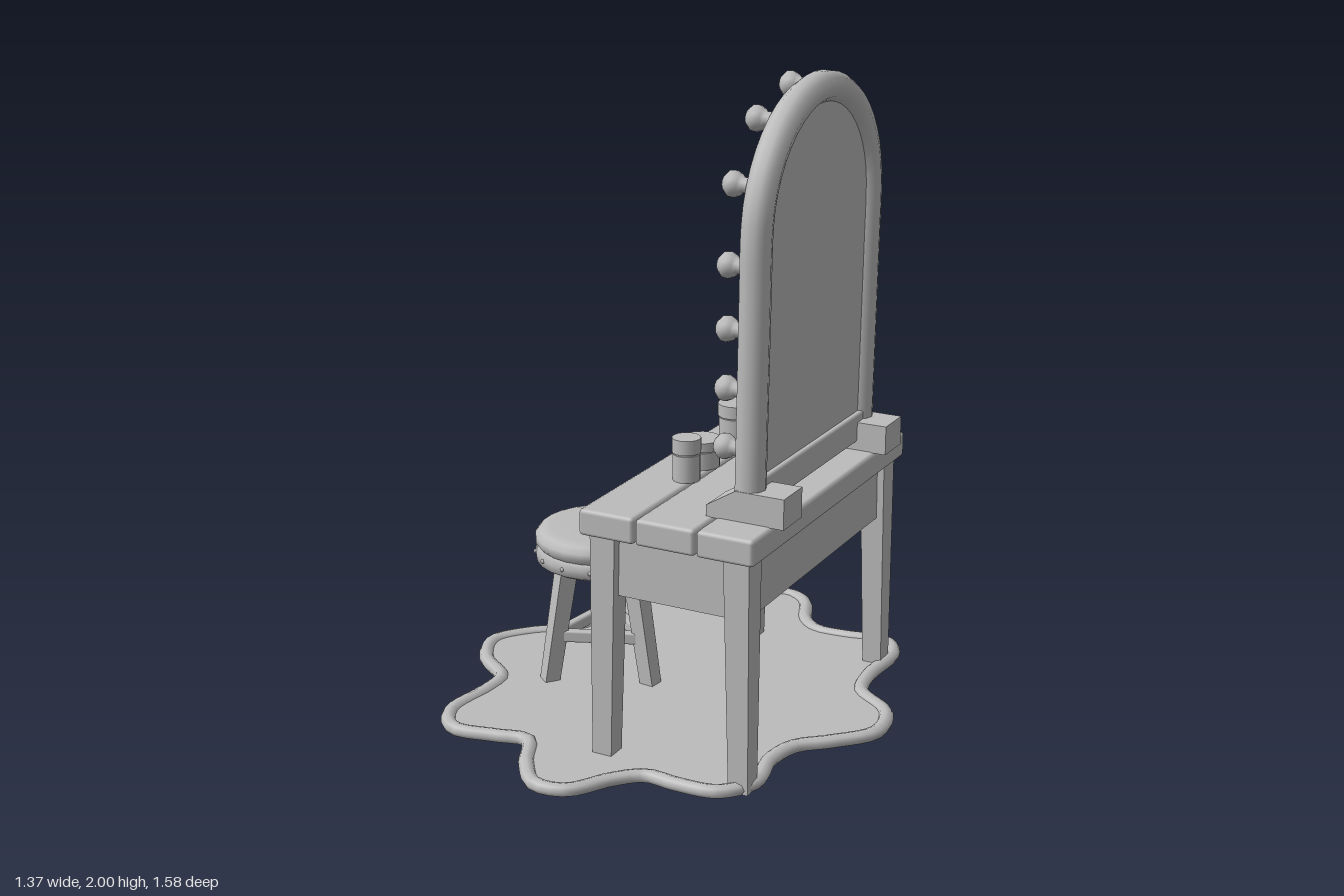
import * as THREE from 'three';
import { RoundedBoxGeometry } from 'three/addons/geometries/RoundedBoxGeometry.js';

const clay = new THREE.MeshStandardMaterial({ color: 0xbcbcbc });
clay.name = 'plain grey';

function add(parent, name, geometry, x = 0, y = 0, z = 0) {
  const mesh = new THREE.Mesh(geometry, clay);
  mesh.name = name;
  mesh.position.set(x, y, z);
  parent.add(mesh);
  return mesh;
}

function group(parent, name, x = 0, y = 0, z = 0) {
  const g = new THREE.Group();
  g.name = name;
  g.position.set(x, y, z);
  parent.add(g);
  return g;
}

const box = (w, h, d) => new THREE.BoxGeometry(w, h, d);
const softBox = (w, h, d, r = 0.008) => new RoundedBoxGeometry(w, h, d, 1, r);
const lathe = (pts, n = 20) => new THREE.LatheGeometry(pts.map(p => new THREE.Vector2(...p)), n);

// Square leg from a bottom point to a top point, with its own width at each end
function leg(parent, name, bottom, top, wBottom, wTop, turn = 0) {
  const h = top[1] - bottom[1];
  const g = box(1, h, 1);
  const p = g.attributes.position;
  const c = Math.cos(turn), s = Math.sin(turn);
  for (let i = 0; i < p.count; i++) {
    const t = p.getY(i) / h + 0.5;
    const w = wBottom + (wTop - wBottom) * t;
    const x = p.getX(i) * w, z = p.getZ(i) * w;
    p.setXYZ(i, bottom[0] + (top[0] - bottom[0]) * t + x * c + z * s, bottom[1] + h * t,
      bottom[2] + (top[2] - bottom[2]) * t - x * s + z * c);
  }
  g.computeVertexNormals();
  return add(parent, name, g);
}

// Wavy eight-lobed rug with a raised rim
function buildRug(root) {
  const outline = [
    [-.30, -.79], [-.2, -.78], [-.08, -.665], [0, -.635], [.1, -.67], [.23, -.735], [.31, -.68], [.37, -.5],
    [.44, -.385], [.6, -.325], [.67, -.2], [.62, -.06], [.565, .05], [.58, .17], [.65, .3], [.62, .42],
    [.5, .48], [.4, .51], [.35, .6], [.31, .74], [.22, .785], [.1, .72], [-.02, .62], [-.11, .67],
    [-.24, .735], [-.34, .67], [-.39, .48], [-.43, .395], [-.58, .34], [-.68, .23], [-.65, .1], [-.56, -.06],
    [-.6, -.2], [-.675, -.37], [-.6, -.46], [-.43, -.485], [-.385, -.52], [-.36, -.68],
  ];
  const curve = new THREE.CatmullRomCurve3(outline.map(([x, z]) => new THREE.Vector3(x * 0.97, 0, z * 0.97)), true);
  const rug = group(root, 'rug');
  const rim = add(rug, 'rugRim', new THREE.TubeGeometry(curve, 150, 0.024, 8, true), 0, 0.034, 0);
  rim.scale.y = 0.83;
  const shape = new THREE.Shape(curve.getPoints(150).map(p => new THREE.Vector2(p.x, -p.z)));
  const mat = new THREE.ExtrudeGeometry(shape, { depth: 0.026, bevelEnabled: false });
  mat.rotateX(-Math.PI / 2);
  add(rug, 'rugMat', mat, 0, 0.014, 0);
}

// Round three-legged stool
function buildStool(root) {
  const stool = group(root, 'stool', -0.24, 0, 0.11);
  add(stool, 'stoolCushion', lathe([[0, .46], [.195, .465], [.21, .485], [.21, .505], [.195, .524], [.16, .53], [0, .532]], 24));
  add(stool, 'stoolSeatRing', lathe([[0, .415], [.19, .415], [.207, .425], [.21, .45], [.205, .47], [0, .475]], 24));
  for (let i = 0; i < 14; i++) {
    const a = i / 14 * Math.PI * 2;
    add(stool, 'seatStud', new THREE.SphereGeometry(0.007, 8, 6), Math.cos(a) * 0.209, 0.447, Math.sin(a) * 0.209);
  }
  const at = (i, r, y) => {
    const a = (-12 + 120 * i) * Math.PI / 180;
    return [Math.cos(a) * r, y, Math.sin(a) * r];
  };
  for (let i = 0; i < 3; i++) {
    leg(stool, 'stoolLeg', at(i, 0.19, 0), at(i, 0.12, 0.42), 0.048, 0.056, (12 - 120 * i) * Math.PI / 180);
    const a = new THREE.Vector3(...at(i, 0.16, 0.185)), b = new THREE.Vector3(...at(i + 1, 0.16, 0.185));
    const rung = add(stool, 'stoolRung', softBox(0.03, 0.04, a.distanceTo(b)));
    rung.position.copy(a).lerp(b, 0.5);
    rung.rotation.y = Math.atan2(b.x - a.x, b.z - a.z);
  }
}

// Table: plank top, tapered legs, aprons and a drawer
function buildTable(desk) {
  const table = group(desk, 'table');
  for (const [i, w] of [0.18, 0.19, 0.18].entries()) {
    add(table, 'topPlank', softBox(1.08, 0.08, w - 0.003, 0.012), 0, 0.765, [0.187, 0, -0.187][i]);
  }
  for (const sx of [-1, 1]) {
    for (const sz of [-1, 1]) {
      leg(table, 'tableLeg', [sx * 0.482, 0.02, sz * 0.222], [sx * 0.475, 0.73, sz * 0.212], 0.062, 0.08);
    }
    add(table, 'endApron', box(0.03, 0.19, 0.37), sx * 0.47, 0.635, 0);
    add(table, 'drawerRunner', box(0.03, 0.04, 0.4), sx * 0.29, 0.565, 0);
  }
  for (const sz of [-1, 1]) add(table, 'longApron', box(0.9, 0.19, 0.03), 0, 0.635, sz * 0.215);
  add(table, 'drawerBox', box(0.52, 0.12, 0.34), 0, 0.655, 0.03);

  // Drawer front: border strips around a recessed panel, with a knob
  const drawer = group(table, 'drawerFront', 0, 0.652, 0.24);
  add(drawer, 'drawerPanel', box(0.56, 0.12, 0.02));
  for (const s of [-1, 1]) {
    add(drawer, 'drawerBorder', box(0.58, 0.024, 0.034), 0, s * 0.055, 0.003);
    add(drawer, 'drawerBorder', box(0.04, 0.09, 0.034), s * 0.27, 0, 0.003);
  }
  const knob = add(drawer, 'drawerKnob', lathe([[.014, 0], [.014, .025], [.028, .035], [.032, .046], [.024, .062], [0, .068]], 14), 0, 0, 0.005);
  knob.rotation.x = Math.PI / 2;
}

// Arched mirror with a tube frame and a ring of bulbs
function buildMirror(desk) {
  const R = 0.375, RY = 0.36, Y0 = 0.8;
  const mirror = group(desk, 'mirror', 0, 0.8, -0.185);
  mirror.rotation.x = -0.015;
  const pts = [];
  for (let i = 0; i < 6; i++) pts.push([R, 0.01 + i * Y0 / 6]);
  for (let i = 0; i <= 14; i++) {
    const a = i / 14 * Math.PI;
    pts.push([Math.cos(a) * R, Y0 + Math.sin(a) * RY]);
  }
  for (let i = 5; i >= 0; i--) pts.push([-R, 0.01 + i * Y0 / 6]);
  const path = new THREE.CatmullRomCurve3(pts.map(([x, y]) => new THREE.Vector3(x, y, 0)));
  add(mirror, 'mirrorFrame', new THREE.TubeGeometry(path, 56, 0.045, 10));
  const shape = new THREE.Shape(pts.map(([x, y]) => new THREE.Vector2(x, Math.max(y, 0.04))));
  add(mirror, 'mirrorGlass', new THREE.ExtrudeGeometry(shape, { depth: 0.03, bevelEnabled: false }), 0, 0, -0.015);
  add(mirror, 'bottomRail', softBox(0.7, 0.09, 0.06), 0, 0.075, 0);

  const spots = [[0, Y0 + RY]];
  for (const s of [-1, 1]) {
    for (const y of [0.2, 0.37, 0.54, 0.72]) spots.push([s * R * 0.98, y]);
    for (const a of [0.4, 0.97]) spots.push([s * Math.cos(a) * R, Y0 + Math.sin(a) * RY]);
  }
  const profile = [[.022, 0], [.022, .025], [.03, .033], [.038, .05], [.036, .066], [.022, .08], [0, .085]];
  for (const [x, y] of spots) {
    const bulb = add(mirror, 'bulb', lathe(profile, 12), x, y, 0.032);
    bulb.rotation.x = Math.PI / 2;
  }

  // Wedge-fronted feet holding the frame
  const foot = new THREE.Shape([[-.31, 0], [-.31, .09], [-.16, .09], [-.07, .035], [-.07, 0]].map(p => new THREE.Vector2(...p)));
  for (const x of [-0.42, 0.3]) {
    const g = new THREE.ExtrudeGeometry(foot, { depth: 0.12, bevelEnabled: false });
    g.rotateY(-Math.PI / 2);
    g.translate(0.12, 0, 0);
    add(desk, 'mirrorFoot', g, x, 0.803, 0);
  }
}

// Lidded pots and necked bottles on the table
function buildJars(root) {
  const pots = [[.02, -.215, .055, .115], [.13, .035, .06, .085], [.195, .155, .043, .13]];
  for (const [x, z, r, h] of pots) {
    const pot = group(root, 'pot', x, 0.805, z);
    const body = h * 0.62, lid = h * 0.34;
    add(pot, 'potBody', new THREE.CylinderGeometry(r * 0.95, r * 0.95, body, 18), 0, body / 2, 0);
    add(pot, 'potNeck', new THREE.CylinderGeometry(r * 0.85, r * 0.85, h * 0.1, 18), 0, body, 0);
    add(pot, 'potLid', new THREE.CylinderGeometry(r, r, lid, 18), 0, h - lid / 2, 0);
  }
  for (const [x, z, r, h] of [[.06, -.37, .043, .205], [.175, -.125, .036, .175]]) {
    const bottle = group(root, 'bottle', x, 0.805, z);
    add(bottle, 'bottleBody', lathe([[0, 0], [r, 0], [r, h * .55], [r * .9, h * .63], [r * .5, h * .7], [r * .5, h * .78]], 18));
    add(bottle, 'bottleCap', new THREE.CylinderGeometry(r * 0.8, r * 0.8, h * 0.25, 18), 0, h * 0.875, 0);
  }
}

export function createModel() {
  const root = new THREE.Group();
  root.name = 'vanitySet';
  buildRug(root);
  buildStool(root);
  const desk = group(root, 'vanityDesk', 0.25, 0, -0.05);
  desk.rotation.y = -1.232;
  buildTable(desk);
  buildMirror(desk);
  buildJars(root);
  return root;
}
